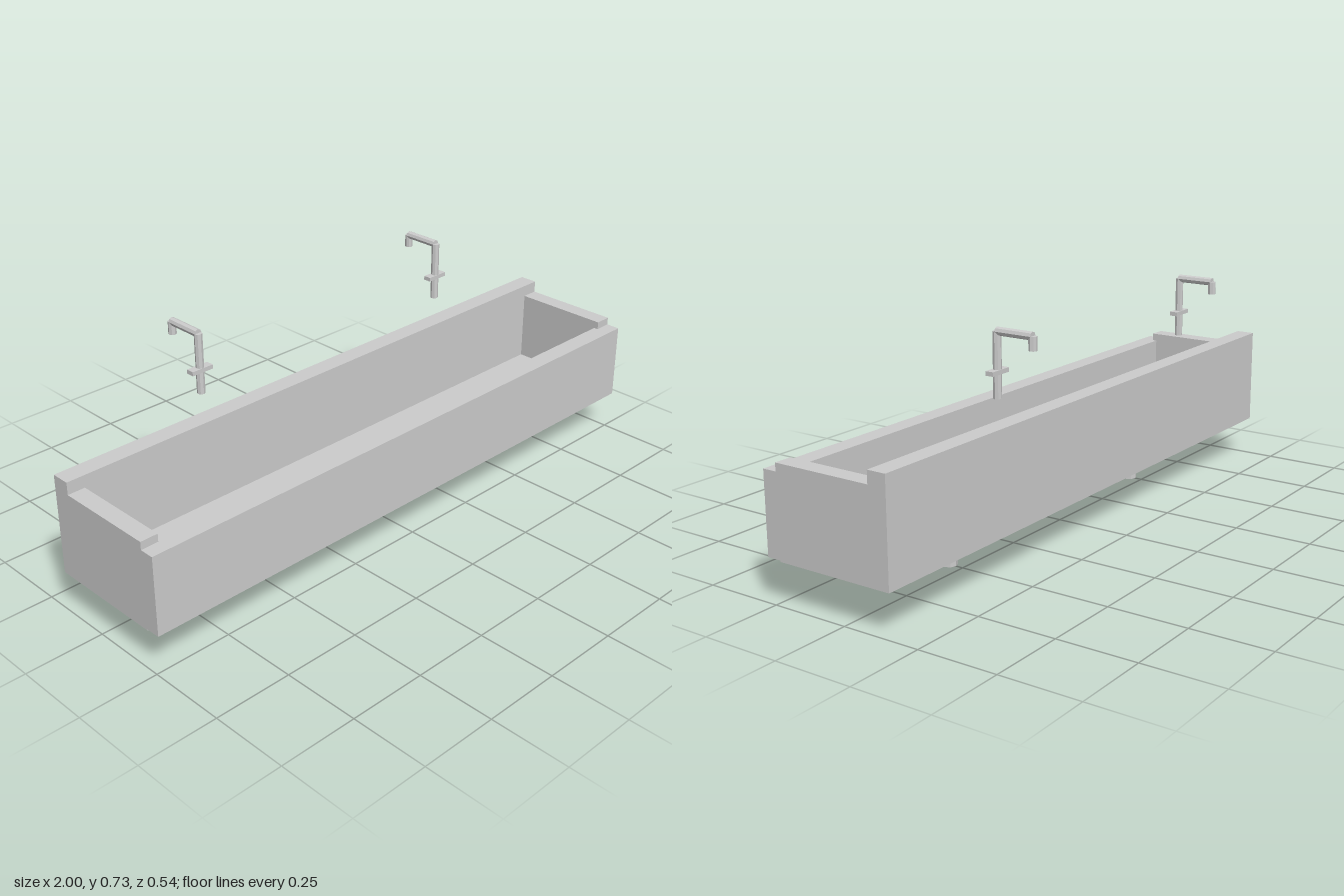
import * as THREE from 'three';

const grey = new THREE.MeshStandardMaterial({ color: 0xcccccc, flatShading: true });
const dark = new THREE.MeshStandardMaterial({ color: 0x777c7c, flatShading: true });

// Box given by its lower and upper limits on each axis
function box(name, [x0, x1], [y0, y1], [z0, z1]) {
  const mesh = new THREE.Mesh(new THREE.BoxGeometry(x1 - x0, y1 - y0, z1 - z0), grey);
  mesh.name = name;
  mesh.position.set((x0 + x1) / 2, (y0 + y1) / 2, (z0 + z1) / 2);
  return mesh;
}

// Eight-sided upright pipe from y0 to y1
function pipe(name, radius, y0, y1, z) {
  const mesh = new THREE.Mesh(new THREE.CylinderGeometry(radius, radius, y1 - y0, 8), grey);
  mesh.name = name;
  mesh.position.set(0, (y0 + y1) / 2, z);
  return mesh;
}

// Tap with riser, cross handle, horizontal arm and short spout
function createTap() {
  const tap = new THREE.Group();
  tap.name = 'tap';
  const r = 0.0125, riserZ = -0.135, spoutZ = -0.255;
  tap.add(pipe('riser', r, 0.53, 0.72, riserZ));
  tap.add(box('handle', [-0.037, 0.037], [0.6, 0.613], [-0.148, -0.122]));
  const arm = pipe('arm', r, 0, riserZ - spoutZ, 0);
  arm.rotation.x = Math.PI / 2;
  arm.position.set(0, 0.72, (riserZ + spoutZ) / 2);
  tap.add(arm);
  tap.add(pipe('spout', r, 0.68, 0.72, spoutZ));
  return tap;
}

export function createModel() {
  const model = new THREE.Group();
  model.name = 'troughSink';

  // Trough walls and floor
  model.add(box('backWall', [-1, 1], [0.131, 0.45], [-0.16, -0.1]));
  model.add(box('frontWall', [-1, 1], [0.135, 0.386], [0.21, 0.27]));
  model.add(box('leftWall', [0.944, 1], [0.131, 0.411], [-0.1, 0.224]));
  model.add(box('rightWall', [-1, -0.944], [0.131, 0.411], [-0.1, 0.224]));
  model.add(box('floor', [-0.973, 0.973], [0.126, 0.18], [-0.13, 0.228]));

  // Drain disc in the middle of the floor
  const drain = new THREE.Mesh(new THREE.CylinderGeometry(0.035, 0.035, 0.004, 24), dark);
  drain.name = 'drain';
  drain.position.set(0, 0.181, 0.047);
  model.add(drain);

  // One waste pipe and one tap on each side
  for (const x of [-0.5, 0.5]) {
    const leg = pipe('wastePipe', 0.025, 0, 0.13, 0.049);
    leg.position.x = x;
    const tap = createTap();
    tap.position.x = x;
    model.add(leg, tap);
  }
  return model;
}
